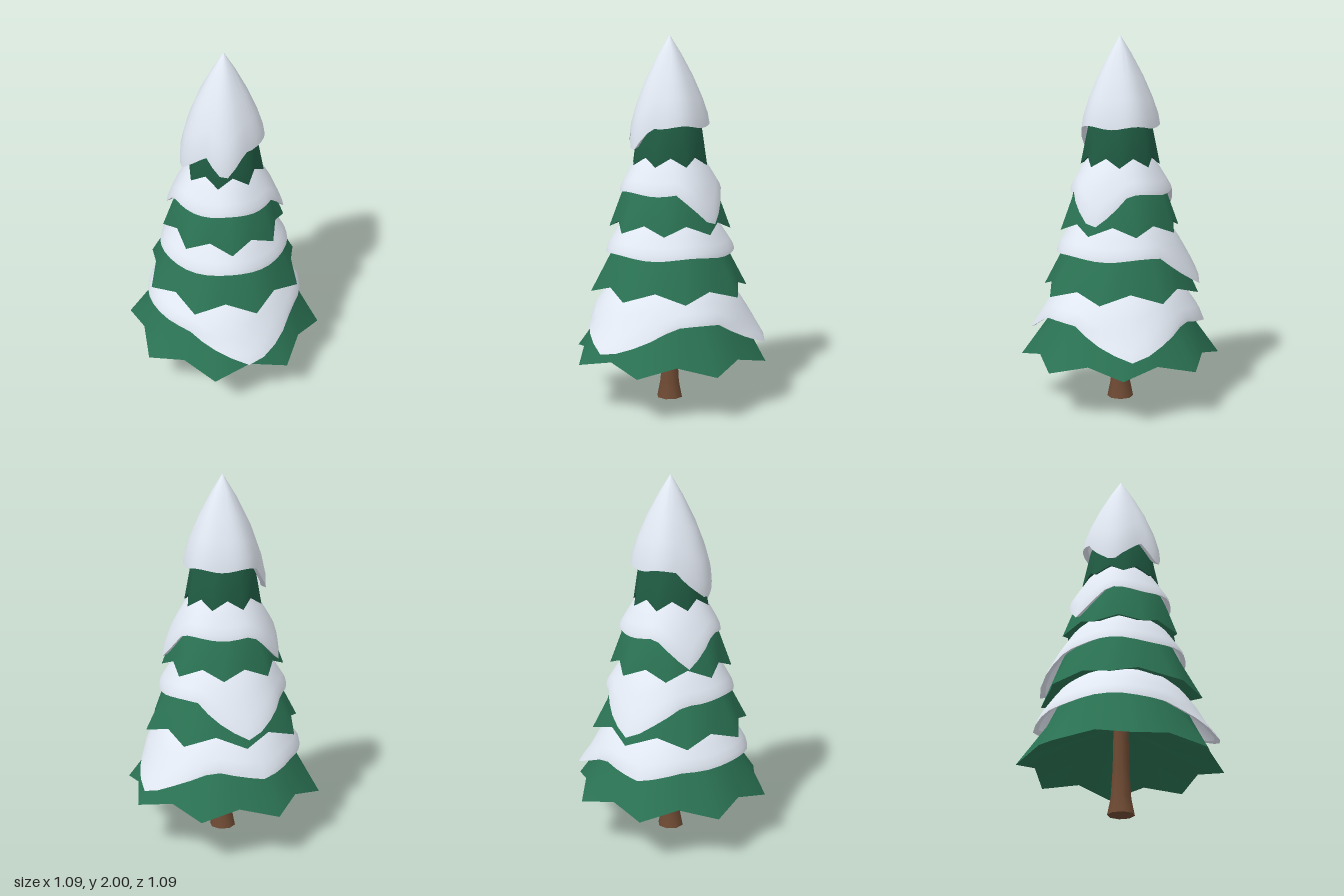
import * as THREE from 'three';
import { toCreasedNormals } from 'three/addons/utils/BufferGeometryUtils.js';

const TAU = Math.PI * 2;
const { lerp, clamp } = THREE.MathUtils;

// Surface through closed rings; point(ring, angle, segment) gives [radius, y]
function loft(rings, segments, turn, point) {
  const pos = [], index = [];
  for (let j = 0; j < rings; j++) {
    for (let i = 0; i < segments; i++) {
      const a = i / segments * TAU + turn;
      const [r, y] = point(j, a, i);
      pos.push(r * Math.cos(a), y, r * Math.sin(a));
      if (j === rings - 1) continue;
      const p = j * segments + i, q = j * segments + (i + 1) % segments;
      index.push(p, p + segments, q, q, p + segments, q + segments);
    }
  }
  const g = new THREE.BufferGeometry();
  g.setAttribute('position', new THREE.Float32BufferAttribute(pos, 3));
  g.setIndex(index);
  return toCreasedNormals(g, 1);
}

// Tier radius: flares at the hem, then narrows evenly above the waist
function tierRadius({ y, rim, waist }, height) {
  const t = (height - y) / 0.21;
  return t < 1 ? lerp(rim, waist, t) : waist - 0.1 * (t - 1);
}

// Branch tier: hollowed underside, hem of eight pointed tips, then the skirt
function tierGeometry(tier) {
  return loft(4, 16, tier.turn, (j, a, i) => {
    if (j === 0) return [0.02, tier.y + tier.rim * 0.41];
    const y = tier.y + (j - 1) * 0.21;
    const r = tierRadius(tier, y);
    return j === 1 && i % 2 ? [r * 0.87, y + 0.047] : [r, y];
  });
}

// Snow hem height: a gently waving line with pointed sags
function hemHeight({ hem, sags }, a) {
  let drop = 0;
  for (const { at, depth, width } of sags) {
    const away = Math.abs(((a - at) * 360 / TAU + 540) % 360 - 180);
    drop = Math.max(drop, depth * (1 - away / width));
  }
  return hem - drop + 0.008 * Math.sin(a * 5 + 1);
}

// Snow blanket: tucked underside, rounded lip, then up to the top edge
function snowGeometry(snow) {
  const steps = [0, 0, 0.12, 0.3, 0.55, 0.8, 1];
  return loft(steps.length, 36, 0, (j, a) => {
    const y = lerp(hemHeight(snow, a), snow.top, steps[j]);
    const r = snow.radius(y) + 0.007 * Math.sin(a * 5 + 1) * (1 - steps[j]);
    if (j === 0) return [r - 0.035, y + 0.015];
    return [Math.max(j === 1 ? r - 0.006 : r, 0), y];
  });
}

// Snow lying on a tier, thinning toward its top edge
const onTier = (tier, top, thickness) => (y) =>
  tierRadius(tier, y) + thickness * Math.sqrt(clamp((top - y) / 0.18, 0, 1)) - 0.005;

// Cap of snow rounding up to the tip of the tree
const capRadius = (y) => 0.238 * (1 - clamp((y - 1.36) / 0.64, 0, 1) ** 1.75);

const sag = (degrees, depth, width) => ({ at: degrees * TAU / 360, depth, width });

export function createModel() {
  const tree = new THREE.Group();
  tree.name = 'snowyTree';
  const add = (name, geometry, color) => {
    const material = new THREE.MeshStandardMaterial({ color, side: THREE.DoubleSide });
    const mesh = new THREE.Mesh(geometry, material);
    mesh.name = name;
    tree.add(mesh);
  };

  // Trunk flaring at the foot
  const trunkProfile = [[0, 0], [0.072, 0], [0.054, 0.09], [0.044, 0.25], [0.04, 0.47]]
    .map(([r, y]) => new THREE.Vector2(r, y));
  add('trunk', toCreasedNormals(new THREE.LatheGeometry(trunkProfile, 8), 0.9), 0x6e4a33);

  // Four tiers, each turned differently from the one below
  const green = 0x2b7354;
  const bottom = { name: 'bottomBranches', y: 0.25, rim: 0.547, waist: 0.395, turn: 0, color: green };
  const lower = { name: 'lowerBranches', y: 0.62, rim: 0.437, waist: 0.325, turn: 0.28, color: green };
  const upper = { name: 'upperBranches', y: 0.96, rim: 0.333, waist: 0.255, turn: 0.56, color: green };
  const top = { name: 'topBranches', y: 1.31, rim: 0.215, waist: 0.172, turn: 0.05, color: 0x1f5a42 };
  for (const tier of [bottom, lower, upper, top]) add(tier.name, tierGeometry(tier), tier.color);

  // Snow on each tier, sagging in different directions
  const snows = [
    { name: 'bottomSnow', hem: 0.495, top: 0.7, radius: onTier(bottom, 0.7, 0.064),
      sags: [sag(68, 0.16, 44), sag(308, 0.16, 42), sag(228, 0.06, 30)] },
    { name: 'lowerSnow', hem: 0.84, top: 1.04, radius: onTier(lower, 1.04, 0.042),
      sags: [sag(238, 0.18, 42)] },
    { name: 'upperSnow', hem: 1.17, top: 1.38, radius: onTier(upper, 1.38, 0.032),
      sags: [sag(344, 0.17, 36), sag(190, 0.14, 34)] },
    { name: 'snowCap', hem: 1.52, top: 2, radius: capRadius,
      sags: [sag(84, 0.15, 30), sag(154, 0.17, 46)] },
  ];
  for (const snow of snows) add(snow.name, snowGeometry(snow), 0xe2e9f3);
  return tree;
}
